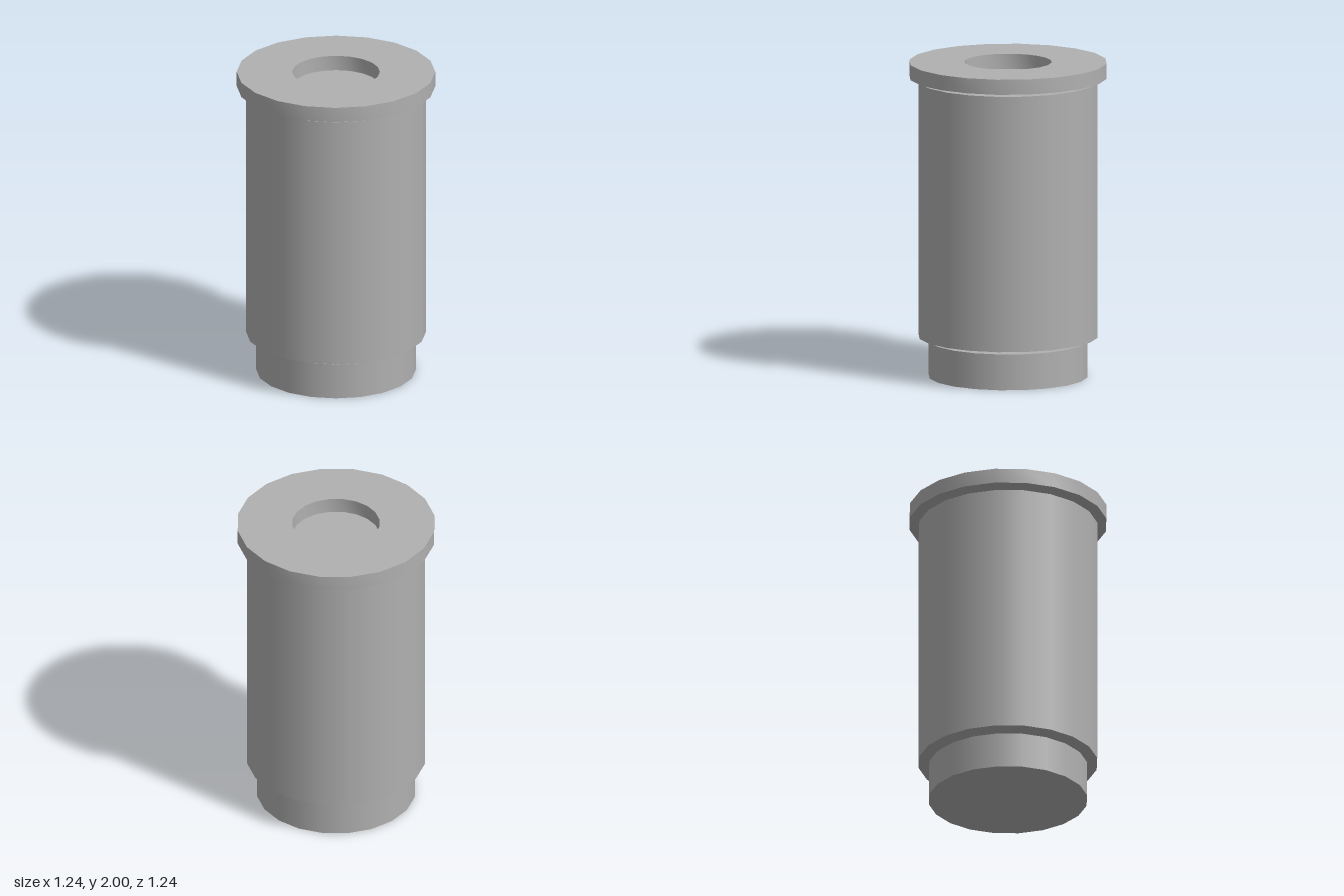
import * as THREE from 'three';
import { toCreasedNormals } from 'three/addons/utils/BufferGeometryUtils.js';

const SIDES = 20;

export function createModel() {
  const model = new THREE.Group();
  const gray = new THREE.MeshStandardMaterial({ color: 0xb0b0b0 });
  gray.name = 'gray';

  const add = (name, geometry, y) => {
    const mesh = new THREE.Mesh(geometry, gray);
    mesh.name = name;
    mesh.position.y = y;
    model.add(mesh);
  };

  // Solid cylinder standing between two heights
  const drum = (name, radius, bottom, top) =>
    add(name, new THREE.CylinderGeometry(radius, radius, top - bottom, SIDES), (bottom + top) / 2);

  drum('foot', 0.5, 0, 0.228);
  drum('body', 0.564, 0.254, 1.88);

  // Flat collar with a round opening, floating just above the body
  const inner = 0.275, outer = 0.622, height = 0.096;
  const profile = [[inner, 0], [outer, 0], [outer, height], [inner, height], [inner, 0]]
    .map(([r, y]) => new THREE.Vector2(r, y));
  const collar = new THREE.LatheGeometry(profile, SIDES);
  add('collar', toCreasedNormals(collar, Math.PI / 6), 2 - height);

  return model;
}
